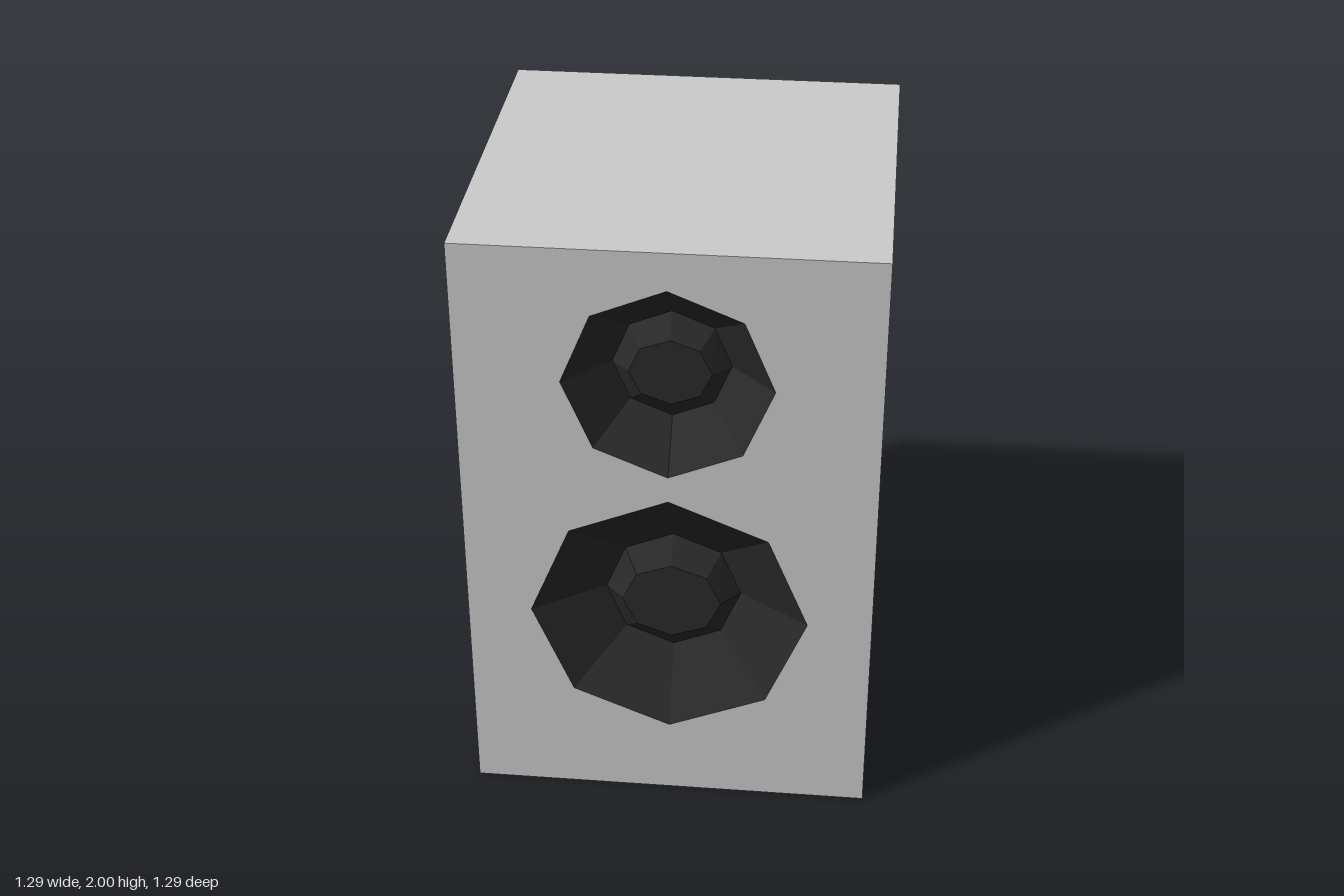
import * as THREE from 'three';

const W = 1.286, H = 2, D = 1.286, SIDES = 8;

// Each driver: centre height, rim radius, dome base radius and depth, cap half-height, half-width and depth
const DRIVERS = [
  { name: 'upperDriver', y: 1.555, rim: 0.322, base: 0.182, baseDepth: 0.14, cap: 0.11, capWide: 0.127, capDepth: 0.085 },
  { name: 'lowerDriver', y: 0.705, rim: 0.44, base: 0.218, baseDepth: 0.15, cap: 0.137, capWide: 0.158, capDepth: 0.085 },
];

// Octagonal recess: a cone sinking inwards, then a flat-topped dust cap rising from its floor
function driverGeometry(d) {
  const profile = [
    [d.rim, 0], [d.base, -d.baseDepth], [d.cap, -d.capDepth], [0, -d.capDepth],
  ].map(([r, h]) => new THREE.Vector2(r, h));
  const geo = new THREE.LatheGeometry(profile, SIDES).rotateX(Math.PI / 2);
  // Widen the cap sideways
  const pos = geo.attributes.position;
  for (let i = 0; i < pos.count; i++) {
    if (Math.abs(pos.getZ(i) + d.capDepth) < 1e-4) pos.setX(i, pos.getX(i) * d.capWide / d.cap);
  }
  return geo;
}

// Front panel with one octagonal opening per driver
function frontGeometry() {
  const w = W / 2;
  const shape = new THREE.Shape([[-w, 0], [w, 0], [w, H], [-w, H]].map(p => new THREE.Vector2(...p)));
  for (const d of DRIVERS) {
    const pts = [];
    for (let i = 0; i < SIDES; i++) {
      const a = -i / SIDES * Math.PI * 2;
      pts.push(new THREE.Vector2(Math.cos(a) * d.rim, d.y + Math.sin(a) * d.rim));
    }
    shape.holes.push(new THREE.Path(pts));
  }
  return new THREE.ShapeGeometry(shape);
}

// Box without its front (+z) face
function shellGeometry() {
  const geo = new THREE.BoxGeometry(W, H, D);
  const index = Array.from(geo.index.array);
  index.splice(24, 6);
  geo.setIndex(index);
  geo.clearGroups();
  return geo;
}

export function createModel() {
  const model = new THREE.Group();
  model.name = 'loudspeaker';
  const caseMat = new THREE.MeshStandardMaterial({ color: 0xcccccc });
  const driverMat = new THREE.MeshStandardMaterial({ color: 0x2a2a2a, flatShading: true });

  const add = (name, geo, mat, y, z) => {
    const mesh = new THREE.Mesh(geo, mat);
    mesh.name = name;
    mesh.position.set(0, y, z);
    model.add(mesh);
  };

  add('cabinet', shellGeometry(), caseMat, H / 2, 0);
  add('frontPanel', frontGeometry(), caseMat, 0, D / 2);
  for (const d of DRIVERS) add(d.name, driverGeometry(d), driverMat, d.y, D / 2);
  return model;
}
